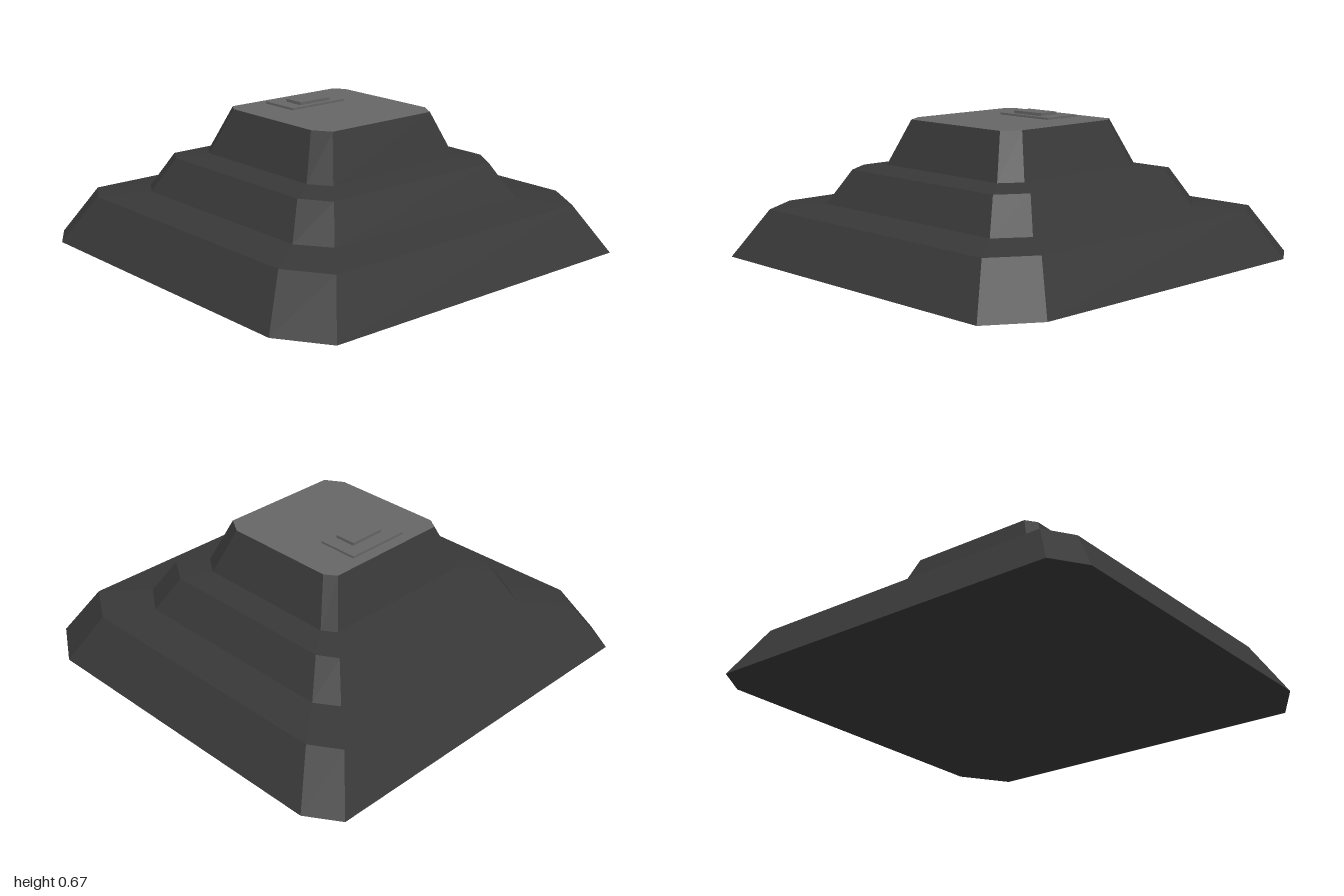
import * as THREE from 'three';

// Each ring: height, half width, back z, front z, and the chamfer [dx, dz] at the back and front corners
const RINGS = [
  { y: 0, w: 1.0, back: -0.99, front: 0.99, cb: [0.1, 0.155], cf: [0.15, 0.235] },
  { y: 0.225, w: 0.86, back: -0.86, front: 0.85, cb: [0.085, 0.135], cf: [0.13, 0.205] },
  { y: 0.248, w: 0.663, back: -0.665, front: 0.645, cb: [0.068, 0.105], cf: [0.103, 0.15] },
  { y: 0.41, w: 0.567, back: -0.575, front: 0.55, cb: [0.053, 0.09], cf: [0.087, 0.137] },
  { y: 0.432, w: 0.442, back: -0.452, front: 0.425, cb: [0.042, 0.064], cf: [0.067, 0.1] },
  { y: 0.645, w: 0.352, back: -0.367, front: 0.335, cb: [0.037, 0.054], cf: [0.052, 0.085] },
];

// Eight corners of a ring, counter-clockwise seen from above
function corners({ y, w, back, front, cb, cf }) {
  const right = [
    [w - cf[0], y, front], [w, y, front - cf[1]],
    [w, y, back + cb[1]], [w - cb[0], y, back],
  ];
  const left = right.map(([x, h, z]) => [-x, h, z]).reverse();
  return [...right, ...left];
}

function facetedGeometry(triangles) {
  const g = new THREE.BufferGeometry();
  g.setAttribute('position', new THREE.Float32BufferAttribute(triangles.flat(), 3));
  g.computeVertexNormals();
  return g;
}

// Band of flat faces between two rings
function band(lower, upper) {
  const a = corners(lower), b = corners(upper), tris = [];
  for (let i = 0; i < 8; i++) {
    const j = (i + 1) % 8;
    tris.push(a[i], a[j], b[j], a[i], b[j], b[i]);
  }
  return facetedGeometry(tris);
}

// Flat octagon closing a ring, facing up or down
function lid(ring, up) {
  const p = corners(ring), tris = [];
  for (let i = 1; i < 7; i++) tris.push(p[0], p[up ? i : i + 1], p[up ? i + 1 : i]);
  return facetedGeometry(tris);
}

export function createModel() {
  const model = new THREE.Group();
  model.name = 'steppedPlinth';
  const dark = new THREE.MeshStandardMaterial({ name: 'darkGrey', color: 0x383838, flatShading: true });
  const light = new THREE.MeshStandardMaterial({ name: 'midGrey', color: 0x666666, flatShading: true });

  const add = (name, geometry, material) => {
    const mesh = new THREE.Mesh(geometry, material);
    mesh.name = name;
    model.add(mesh);
    return mesh;
  };

  // Three sloped tiers joined by gently sloping ledges
  const names = ['baseTier', 'lowerLedge', 'middleTier', 'upperLedge', 'topTier'];
  names.forEach((name, i) => add(name, band(RINGS[i], RINGS[i + 1]), dark));
  add('underside', lid(RINGS[0], false), dark);
  add('topSurface', lid(RINGS[5], true), light);

  // Two stacked rectangular plates near the back of the top
  add('lowerPlate', new THREE.BoxGeometry(0.32, 0.01, 0.2), light).position.set(0, 0.65, -0.21);
  add('upperPlate', new THREE.BoxGeometry(0.18, 0.014, 0.106), light).position.set(0, 0.662, -0.188);

  return model;
}
